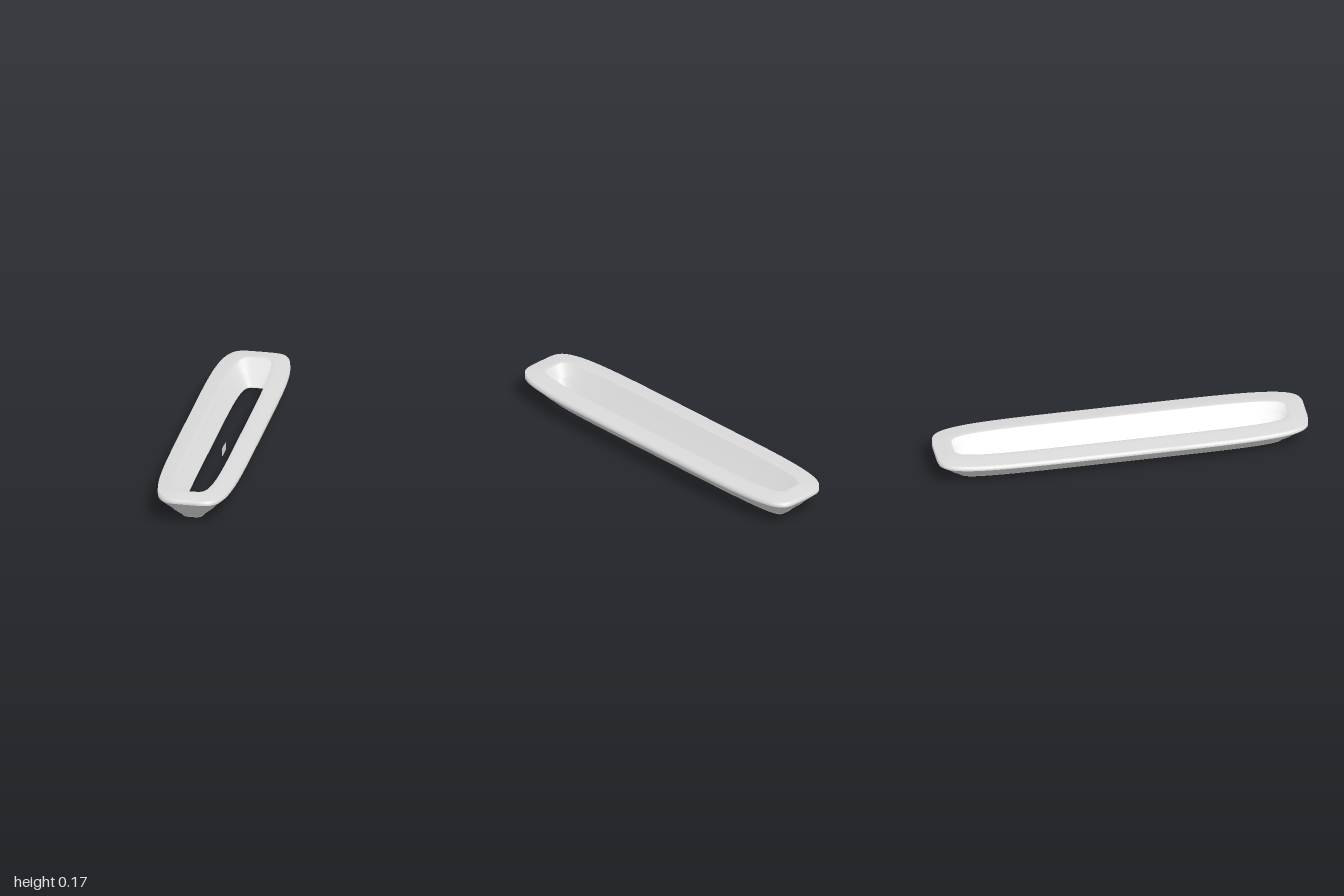
import * as THREE from 'three';

const SEGMENTS = 160;
const INSET = 0.79; // half length minus half width, constant for every ring

// Skins a profile of [halfWidth, y] points around a rounded-rectangle plan.
function loft(name, profile, material) {
  const position = [], index = [];
  const soften = v => Math.sign(v) * Math.pow(Math.abs(v), 0.4);
  for (const [a, y] of profile) {
    for (let j = 0; j < SEGMENTS; j++) {
      const u = (j / SEGMENTS) * Math.PI * 2;
      position.push(a * soften(Math.cos(u)), y, (a + INSET) * soften(Math.sin(u)));
    }
  }
  for (let i = 0; i < profile.length - 1; i++) {
    for (let j = 0; j < SEGMENTS; j++) {
      const k = (j + 1) % SEGMENTS;
      const p = i * SEGMENTS + j, q = i * SEGMENTS + k;
      index.push(p, p + SEGMENTS, q, q, p + SEGMENTS, q + SEGMENTS);
    }
  }
  const geometry = new THREE.BufferGeometry();
  geometry.setAttribute('position', new THREE.Float32BufferAttribute(position, 3));
  geometry.setIndex(index);
  geometry.computeVertexNormals();
  const mesh = new THREE.Mesh(geometry, material);
  mesh.name = name;
  return mesh;
}

export function createModel() {
  const group = new THREE.Group();
  group.name = 'longTray';
  const grey = new THREE.MeshStandardMaterial({ color: 0xdadada, side: THREE.DoubleSide });
  grey.name = 'light grey';

  // Thin flared wall, open at the bottom and visible from inside
  group.add(loft('wall', [[0.08, 0.003], [0.082, 0.008], [0.1375, 0.056], [0.143, 0.064], [0.21, 0.128]], grey));

  // Rounded rim above the wall
  group.add(loft('rim', [[0.21, 0.128], [0.21, 0.146], [0.19, 0.152], [0.165, 0.156]], grey));

  // Thin crowned top sheet, overhanging the hollow inside
  group.add(loft('topSheet', [[0.209, 0.158], [0.185, 0.161], [0.16, 0.164], [0.135, 0.1665], [0.118, 0.167], [0.111, 0.165]], grey));

  // Small upright tab in the middle of the opening
  const tab = new THREE.Mesh(new THREE.BoxGeometry(0.003, 0.042, 0.085), grey);
  tab.name = 'centreTab';
  tab.position.y = 0.021;
  group.add(tab);

  return group;
}
